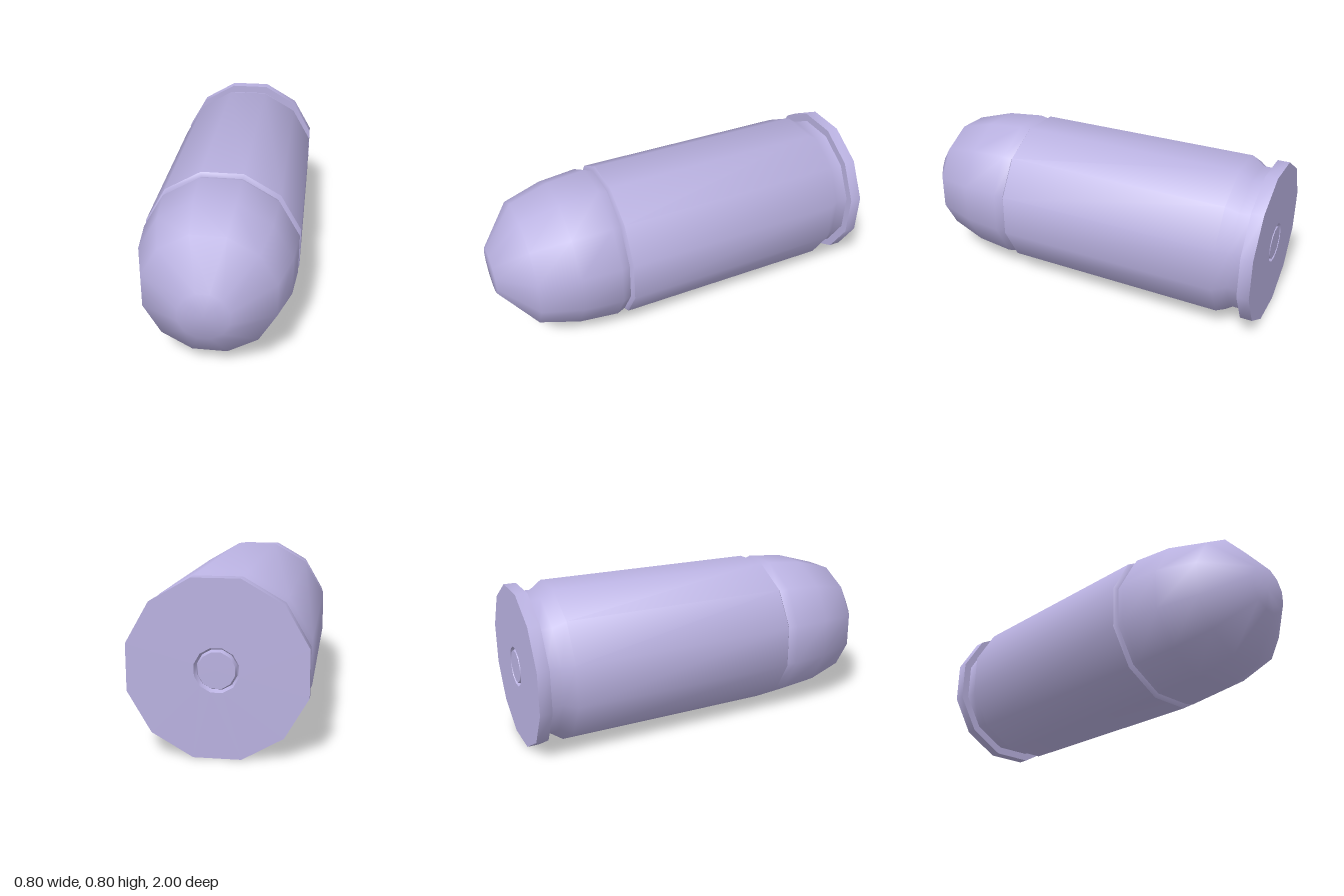
import * as THREE from 'three';
import { toCreasedNormals } from 'three/addons/utils/BufferGeometryUtils.js';

const SIDES = 12;
const APOTHEM = 0.398;

// Profile points are [distance from axis to flat side, z], listed from back to front.
function turned(name, profile, material) {
  const k = 1 / Math.cos(Math.PI / SIDES);
  const points = profile.map(([r, z]) => new THREE.Vector2(r * k, z));
  const lathe = new THREE.LatheGeometry(points, SIDES, Math.PI / SIDES);
  lathe.rotateX(Math.PI / 2);
  const mesh = new THREE.Mesh(toCreasedNormals(lathe, 0.85), material);
  mesh.name = name;
  mesh.position.y = APOTHEM;
  return mesh;
}

export function createModel() {
  const group = new THREE.Group();
  group.name = 'cartridge';
  const material = new THREE.MeshStandardMaterial({ color: 0xb9b1e0 });

  // Primer: small disc with a bevelled edge, set in the back of the rim
  group.add(turned('primer', [
    [0, -1], [0.08, -1], [0.088, -0.98],
  ], material));

  // Case: primer pocket, rim, extractor groove, shoulder, straight wall and bevelled mouth
  group.add(turned('case', [
    [0.088, -0.98], [0.098, -1], [APOTHEM, -1], [APOTHEM, -0.94],
    [0.357, -0.94], [0.357, -0.875], [APOTHEM, -0.815],
    [APOTHEM, 0.365], [0.378, 0.38], [0.35, 0.38],
  ], material));

  // Bullet: rounded nose with a small blunt tip
  group.add(turned('bullet', [
    [0, 0.375], [0.376, 0.375], [0.394, 0.425], [0.375, 0.63],
    [0.317, 0.835], [0.118, 1], [0, 1],
  ], material));

  return group;
}
